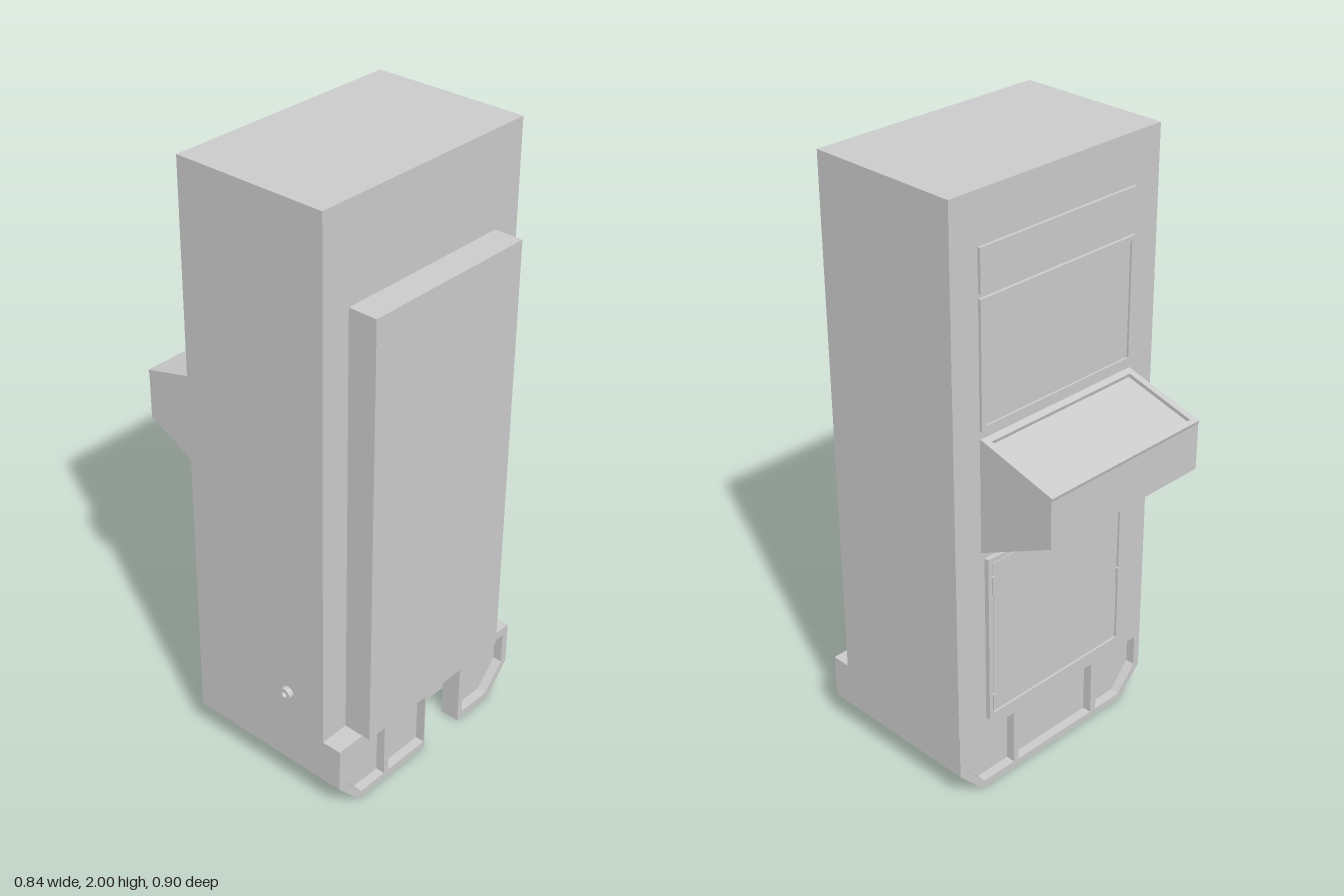
import * as THREE from 'three';

const mat = new THREE.MeshStandardMaterial({ color: 0xcccccc });

function add(parent, name, geometry) {
  const mesh = new THREE.Mesh(geometry, mat);
  mesh.name = name;
  parent.add(mesh);
  return mesh;
}

// Box given by its limits on each axis
function box(parent, name, x0, x1, y0, y1, z0, z1) {
  const mesh = add(parent, name, new THREE.BoxGeometry(x1 - x0, y1 - y0, z1 - z0));
  mesh.position.set((x0 + x1) / 2, (y0 + y1) / 2, (z0 + z1) / 2);
  return mesh;
}

const rect = (x0, x1, y0, y1) => [[x0, y0], [x1, y0], [x1, y1], [x0, y1]];
const toPoints = (list) => list.map(([x, y]) => new THREE.Vector2(x, y));

// Flat outline with holes, extruded along z from z0 to z1
function plate(parent, name, outline, holes, z0, z1) {
  const shape = new THREE.Shape(toPoints(outline));
  holes.forEach((h) => shape.holes.push(new THREE.Path(toPoints(h))));
  const geometry = new THREE.ExtrudeGeometry(shape, { depth: z1 - z0, bevelEnabled: false });
  geometry.translate(0, 0, z0);
  return add(parent, name, geometry);
}

export function createModel() {
  const model = new THREE.Group();
  const L = -0.405, R = 0.42;

  // Cabinet and raised front panel
  box(model, 'cabinet', L, R, 0.25, 2, -0.168, 0.353);
  box(model, 'frontPanel', -0.303, 0.318, 0.25, 1.69, 0.353, 0.449);

  // Base: slab between two chamfered foot plates with sunken pockets
  const base = new THREE.Group();
  base.name = 'base';
  model.add(base);
  box(base, 'baseSlab', L, 0.418, 0.1, 0.25, -0.103, 0.355);
  const lowY = 0.025, topY = 0.22;
  const rightPocket = (x) => [[-0.38, 0.11], [-0.305, lowY], [x, lowY], [x, topY], [-0.38, topY]];
  const leftPocket = (x) => [[x, lowY], [0.315, lowY], [0.393, 0.11], [0.393, topY], [x, topY]];
  const sides = [[0.418, 0.1], [0.418, 0.25], [L, 0.25], [L, 0.1]];

  const frontOutline = [[-0.315, 0], [0, 0], [0, topY], [0.17, topY], [0.17, 0], [0.325, 0], ...sides];
  const frontPockets = [rightPocket(-0.198), rect(-0.178, -0.004, lowY, topY - 0.001), leftPocket(0.19)];
  plate(base, 'frontFootBacking', frontOutline, [], 0.355, 0.39);
  plate(base, 'frontFootFrame', frontOutline, frontPockets, 0.39, 0.421);

  const backOutline = [[-0.315, 0], [0.325, 0], ...sides];
  const backPockets = [rightPocket(-0.195), rect(-0.17, 0.165, lowY, topY), leftPocket(0.185)];
  plate(base, 'backFootBacking', backOutline, [], -0.137, -0.103);
  plate(base, 'backFootFrame', backOutline, backPockets, -0.168, -0.137);

  // Sign and framed screen on the upper back
  box(model, 'signPanel', -0.302, 0.318, 1.705, 1.84, -0.178, -0.168);
  plate(model, 'screenFrame', rect(-0.302, 0.318, 1.285, 1.69),
    [rect(-0.288, 0.304, 1.299, 1.676)], -0.178, -0.168);
  box(model, 'screen', -0.288, 0.304, 1.299, 1.676, -0.171, -0.167);

  // Wedge console with a sunken sloping top
  const profile = [[0.168, 1.247], [0.446, 1.173], [0.446, 1.02], [0.168, 0.88]];
  const wedge = plate(model, 'console', profile, [], -0.302, 0.318);
  wedge.geometry.rotateY(Math.PI / 2);
  // after the turn, outline x runs along -z and depth along +x
  const slope = Math.atan2(0.074, 0.278);
  const length = Math.hypot(0.074, 0.278);
  const rim = plate(model, 'consoleRim', rect(-0.302, 0.318, 0, length),
    [rect(-0.28, 0.296, 0.023, length - 0.017)], 0, 0.0125);
  rim.rotation.x = -Math.PI / 2 - slope;
  rim.position.set(0, 1.247, -0.168);

  // Service door in its frame, with hinges and a pull
  const door = new THREE.Group();
  door.name = 'serviceDoor';
  model.add(door);
  plate(door, 'doorFrame', rect(-0.285, 0.305, 0.27, 0.855),
    [rect(-0.268, 0.288, 0.287, 0.838)], -0.184, -0.168);
  box(door, 'doorLeaf', -0.263, 0.283, 0.292, 0.833, -0.181, -0.167);
  for (const y of [0.33, 0.76]) box(door, 'hinge', 0.283, 0.291, y - 0.03, y + 0.03, -0.188, -0.178);
  box(door, 'doorPull', -0.268, -0.26, 0.5, 0.56, -0.19, -0.178);

  // Round lock on the right side
  const ring = [[0, 0.006], [0.01, 0.006], [0.01, 0.017], [0.022, 0.017], [0.022, 0]];
  const lockGeometry = new THREE.LatheGeometry(toPoints(ring).reverse(), 16).toNonIndexed();
  lockGeometry.computeVertexNormals();
  const lock = add(model, 'lock', lockGeometry);
  lock.rotation.z = Math.PI / 2;
  lock.position.set(L, 0.366, 0.211);

  return model;
}
